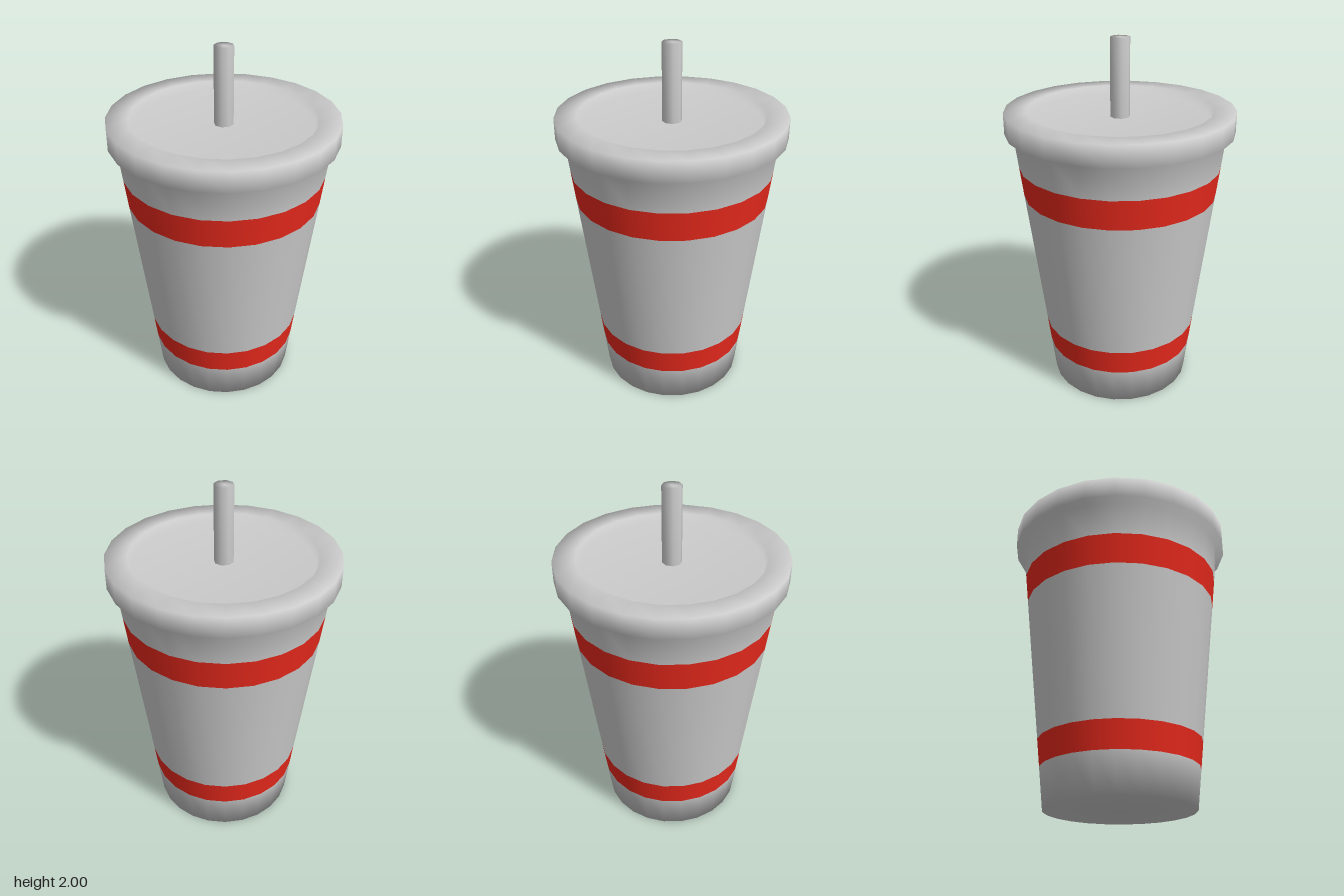
import * as THREE from 'three';

const grey = new THREE.MeshStandardMaterial({ color: 0xcccccc });
const red = new THREE.MeshStandardMaterial({ color: 0xe8291c });

const toPoints = (list) => list.map(([r, y]) => new THREE.Vector2(r, y));

// Profile of cup and lid, from the middle of the base up to the middle of the lid
const wall = (y) => [0.4 + y * 0.117, y];
const PROFILE = [
  [0, 0], wall(0),
  wall(0.21), wall(0.355),
  wall(1.155), wall(1.32),
  wall(1.495), [0.62, 1.51],
  [0.62, 1.625], [0.5, 1.625],
  [0.485, 1.58], [0, 1.58],
];

// Part of the turned profile between two points; normals stay smooth across parts
function section(name, from, to, material) {
  const geometry = new THREE.LatheGeometry(toPoints(PROFILE), 24);
  const perColumn = PROFILE.length - 1;
  const all = Array.from(geometry.index.array);
  geometry.setIndex(all.filter((_, k) => {
    const row = Math.floor(k / 6) % perColumn;
    return row >= from && row < to;
  }));
  const mesh = new THREE.Mesh(geometry, material);
  mesh.name = name;
  return mesh;
}

export function createModel() {
  const model = new THREE.Group();
  model.name = 'drinkCup';

  // Cup body with two stripes, and the rimmed lid
  model.add(
    section('cupBase', 0, 2, grey),
    section('lowerStripe', 2, 3, red),
    section('cupMiddle', 3, 4, grey),
    section('upperStripe', 4, 5, red),
    section('cupTop', 5, 6, grey),
    section('lid', 6, 11, grey),
  );

  // Drinking straw with closed top
  const straw = new THREE.Mesh(
    new THREE.LatheGeometry(toPoints([[0.053, 1.57], [0.053, 2], [0, 2]]), 8),
    grey,
  );
  straw.name = 'straw';
  model.add(straw);

  return model;
}
